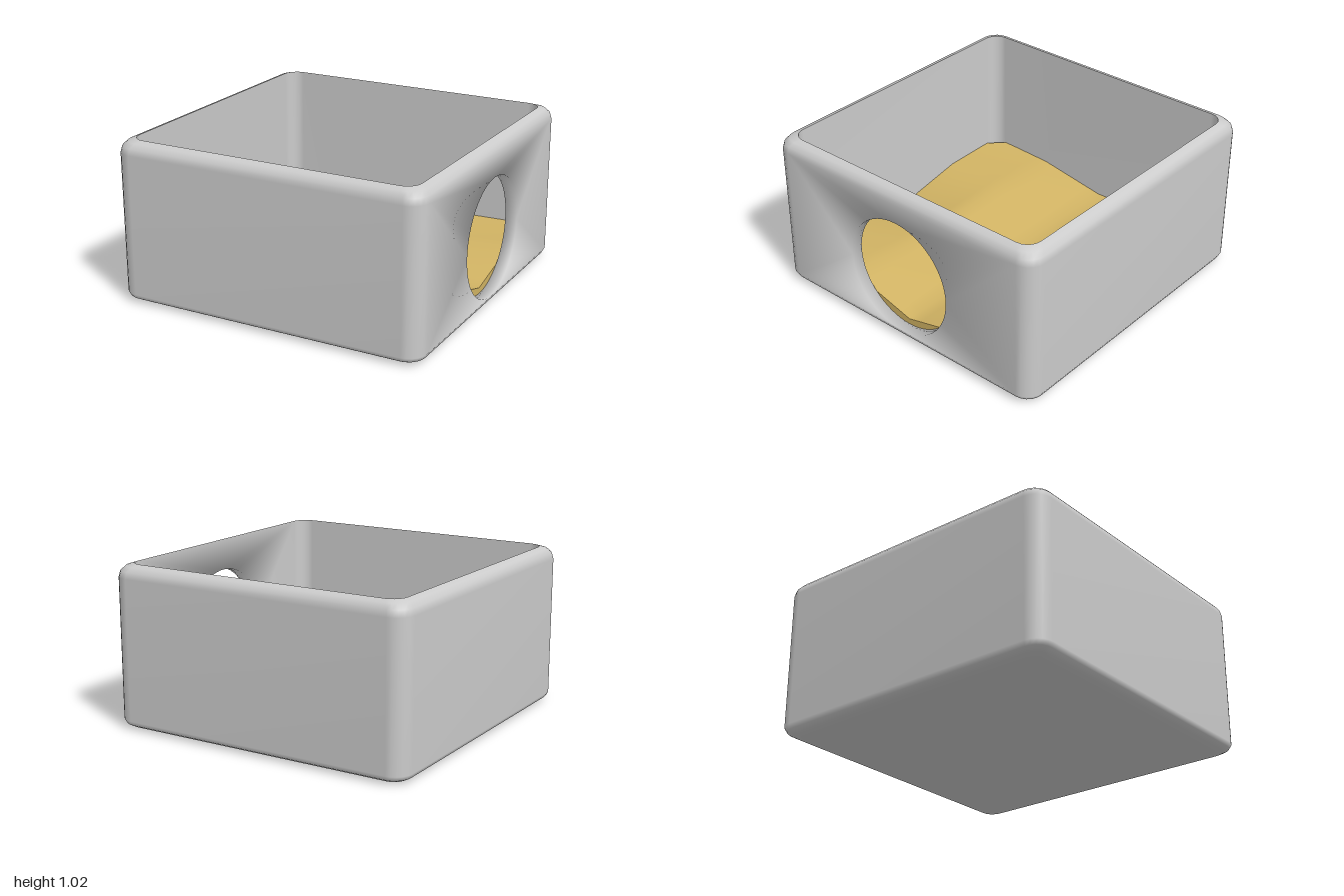
import * as THREE from 'three';

const HOLE = { y: 0.44, r: 0.376, steps: 64 };

// Rounded-square loop in the xz plane; its +x side lies between the last and first points.
function squareLoop(half, radius, y, seg = 5) {
  const points = [], c = half - radius;
  const signs = [[1, 1], [-1, 1], [-1, -1], [1, -1]];
  signs.forEach(([sx, sz], q) => {
    for (let i = 0; i <= seg; i++) {
      const a = (q + i / seg) * Math.PI / 2;
      points.push([sx * c + radius * Math.cos(a), y, sz * c + radius * Math.sin(a)]);
    }
  });
  return points;
}

// Sweep profile rows [half width, corner radius, height]; openSpan leaves out the +x wall there.
function sweepSquare(profile, openSpan, x, outward) {
  const loops = profile.map(p => squareLoop(...p));
  const n = loops[0].length, pos = loops.flat(2), idx = [];
  for (let i = 0; i < loops.length - 1; i++) {
    for (let j = 0; j < n; j++) {
      if (i === openSpan && j === n - 1) continue;
      const k = (j + 1) % n, a = i * n + j, b = i * n + k;
      idx.push(a, a + n, b, b, a + n, b + n);
    }
  }
  // Wall face around the round opening, fanned from its four corners
  const lo = (outward ? openSpan : openSpan + 1) * n;
  const hi = (outward ? openSpan + 1 : openSpan) * n;
  const corners = [hi, hi + n - 1, lo + n - 1, lo];
  const rim = pos.length / 3, N = HOLE.steps;
  const tri = (a, b, c) => outward ? idx.push(a, b, c) : idx.push(a, c, b);
  for (let i = 0; i < N; i++) {
    const t = i / N * Math.PI * 2, q = Math.floor(i * 4 / N);
    pos.push(x, HOLE.y + HOLE.r * Math.sin(t), HOLE.r * Math.cos(t));
    tri(corners[q], rim + i, rim + (i + 1) % N);
  }
  for (let q = 0; q < 4; q++) {
    tri(corners[q], rim + ((q + 1) * N / 4) % N, corners[(q + 1) % 4]);
  }
  const g = new THREE.BufferGeometry();
  g.setAttribute('position', new THREE.Float32BufferAttribute(pos, 3));
  g.setIndex(idx);
  g.computeVertexNormals();
  // Soft rim: blend the wall normal with the one facing into the opening
  for (let i = 0; i < N; i++) {
    const t = i / N * Math.PI * 2, s = Math.SQRT1_2;
    g.attributes.normal.setXYZ(rim + i, outward ? s : -s, -Math.sin(t) * s, -Math.cos(t) * s);
  }
  return g;
}

// Short sleeve through the wall thickness
function holeSleeve(xOut, xIn) {
  const pos = [], nor = [], idx = [], N = HOLE.steps, s = Math.SQRT1_2;
  for (let i = 0; i <= N; i++) {
    const t = i / N * Math.PI * 2, sy = Math.sin(t), cz = Math.cos(t);
    for (const [x, nx] of [[xOut, s], [xIn, -s]]) {
      pos.push(x, HOLE.y + HOLE.r * sy, HOLE.r * cz);
      nor.push(nx, -sy * s, -cz * s);
    }
    if (i < N) {
      const a = i * 2;
      idx.push(a, a + 1, a + 2, a + 2, a + 1, a + 3);
    }
  }
  const g = new THREE.BufferGeometry();
  g.setAttribute('position', new THREE.Float32BufferAttribute(pos, 3));
  g.setAttribute('normal', new THREE.Float32BufferAttribute(nor, 3));
  g.setIndex(idx);
  return g;
}

// Uneven pad: a slab whose top follows a coarse height grid (rows back to front)
function padGeometry() {
  const half = 0.924, base = 0.052;
  const heights = [
    [0.09, 0.20, 0.19, 0.19, 0.20],
    [0.11, 0.17, 0.15, 0.18, 0.21],
    [0.10, 0.10, 0.10, 0.10, 0.10],
    [0.18, 0.20, 0.20, 0.20, 0.23],
    [0.20, 0.19, 0.10, 0.18, 0.24],
  ];
  const heightAt = (x, z) => {
    const u = (x / half + 1) * 2, v = (z / half + 1) * 2;
    const i = Math.max(0, Math.min(3, Math.floor(u))), j = Math.max(0, Math.min(3, Math.floor(v)));
    const mix = THREE.MathUtils.lerp;
    return mix(mix(heights[j][i], heights[j][i + 1], u - i),
      mix(heights[j + 1][i], heights[j + 1][i + 1], u - i), v - j);
  };
  const g = new THREE.BoxGeometry(half * 2, 1, half * 2, 20, 1, 20);
  const p = g.attributes.position;
  for (let i = 0; i < p.count; i++) {
    let x = p.getX(i), z = p.getZ(i);
    // Cut the corners
    const k = Math.min(1, 1.752 / Math.max(1e-6, Math.abs(x) + Math.abs(z)));
    x *= k;
    z *= k;
    p.setXYZ(i, x, p.getY(i) > 0 ? heightAt(x, z) : base, z);
  }
  g.computeVertexNormals();
  return g;
}

export function createModel() {
  const model = new THREE.Group();
  model.name = 'openBox';
  const grey = new THREE.MeshStandardMaterial({ color: 0xcccccc });
  const tan = new THREE.MeshStandardMaterial({ color: 0xd2b464 });
  const add = (name, geometry, material) => {
    const mesh = new THREE.Mesh(geometry, material);
    mesh.name = name;
    model.add(mesh);
  };

  // Outside: base, rounded lower edge, walls, rounded rim
  const outer = [
    [0, 0, 0], [0.9, 0.06, 0], [0.95, 0.08, 0.008], [0.985, 0.1, 0.028], [1, 0.11, 0.056],
    [1, 0.11, 0.935], [0.99, 0.105, 0.975], [0.965, 0.1, 1.003], [0.925, 0.09, 1.017],
  ];
  add('outerShell', sweepSquare(outer, 4, 1, true), grey);

  // Inside: walls down to the floor
  const inner = [[0.925, 0.09, 1.017], [0.925, 0.09, 0.05], [0.92, 0.085, 0.05], [0, 0, 0.05]];
  add('innerShell', sweepSquare(inner, 0, 0.925, false), grey);

  add('entranceHole', holeSleeve(1, 0.925), grey);
  add('floorPad', padGeometry(), tan);
  return model;
}
